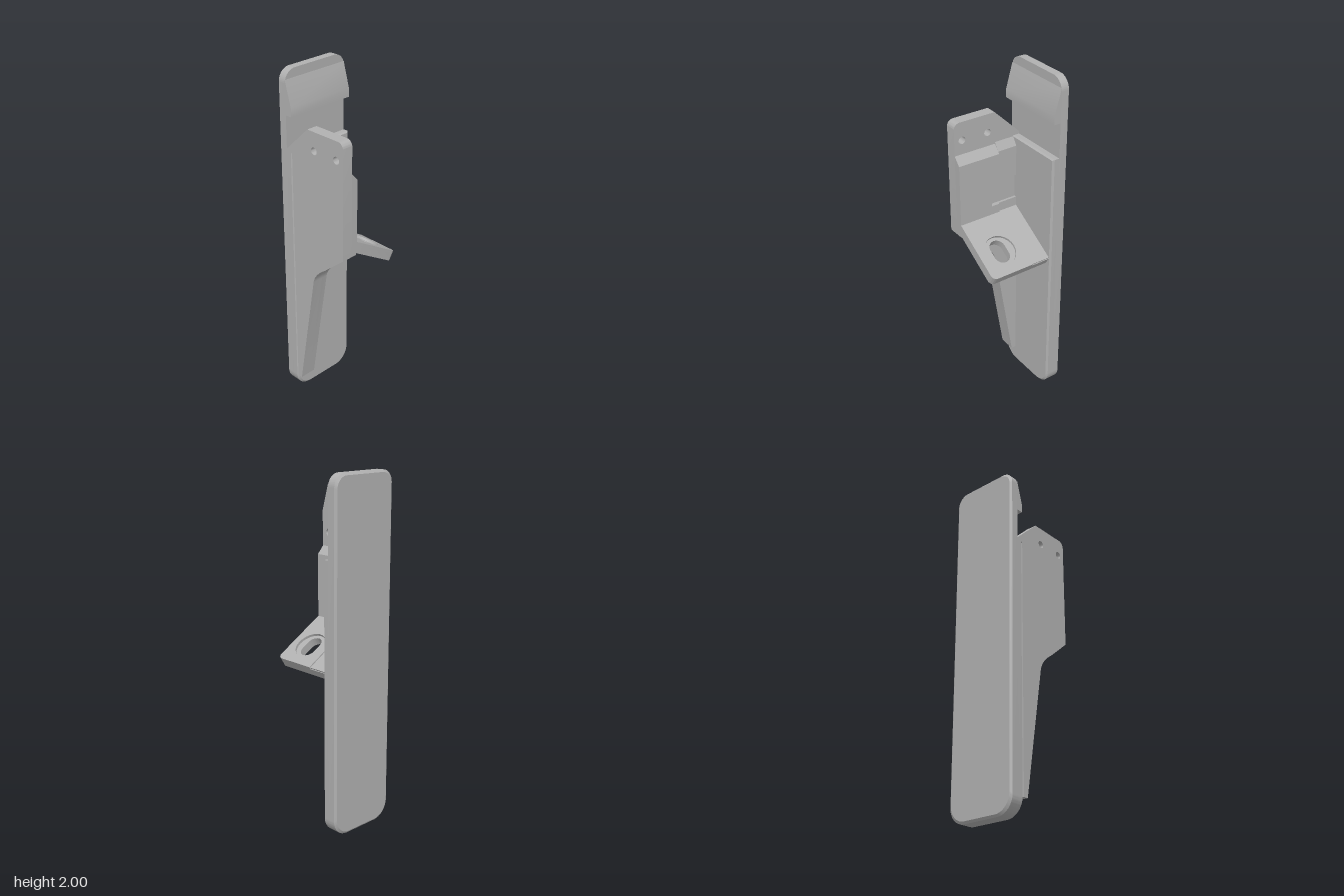
import * as THREE from 'three';
import { toCreasedNormals } from 'three/addons/utils/BufferGeometryUtils.js';

const grey = new THREE.MeshStandardMaterial({ color: 0xb0b0b0 });
grey.name = 'grey';

const polygon = (pts) => new THREE.Shape(pts.map(([x, y]) => new THREE.Vector2(x, y)));
const extrude = (shape, depth, steps = 1) =>
  new THREE.ExtrudeGeometry(shape, { depth, steps, bevelEnabled: false, curveSegments: 12 });

// Profile drawn in (z, y), extruded across x from x0 to x1
const acrossX = (shape, x0, x1) => extrude(shape, x1 - x0).rotateY(-Math.PI / 2).translate(x1, 0, 0);

// Plate outline extruded through rings of [z, inset]
function slab(shape, rings) {
  const n = rings.length - 1;
  const geo = extrude(shape, 1, n);
  const p = geo.attributes.position;
  for (let i = 0; i < p.count; i++) {
    const [z, inset] = rings[Math.round(p.getZ(i) * n)];
    p.setXYZ(i, p.getX(i) * (1 - inset / 0.21), 1 + (p.getY(i) - 1) * (1 - inset), z);
  }
  return geo;
}

// Upright plate outline with rounded bottom corners and optional rounded top
function plateOutline(top, r) {
  const w = 0.21, b = 0.1, s = new THREE.Shape();
  s.moveTo(-w + b, 0).lineTo(w - b, 0);
  s.absarc(w - b, b, b, -Math.PI / 2, 0);
  s.lineTo(w, top - r);
  if (r) s.absarc(w - r, top - r, r, 0, Math.PI / 2);
  s.lineTo(-w + r, top);
  if (r) s.absarc(-w + r, top - r, r, Math.PI / 2, Math.PI);
  s.lineTo(-w, b);
  s.absarc(-w + b, b, b, Math.PI, Math.PI * 1.5);
  return s;
}

// Tapered lower edge shared by both layers of the side web
function webBase() {
  const s = new THREE.Shape();
  s.moveTo(-0.14, 0.1).lineTo(-0.11, 0.1).lineTo(0.008, 0.83);
  s.quadraticCurveTo(0.02, 0.89, 0.1, 0.945);
  s.lineTo(0.235, 1.06);
  return s;
}

export function createModel() {
  const model = new THREE.Group();
  const add = (name, geo, parent = model) => {
    const mesh = new THREE.Mesh(toCreasedNormals(geo, 0.5), grey);
    mesh.name = name;
    parent.add(mesh);
    return mesh;
  };

  // Back plate, its thicker lower face and the wedge lip at the top
  add('backPlate', slab(plateOutline(2, 0.07), [[-0.235, 0.012], [-0.225, 0], [-0.18, 0]]));
  add('lowerPlate', slab(plateOutline(1.56, 0), [[-0.18, 0], [-0.15, 0], [-0.14, 0.01]]));
  add('topLip', acrossX(polygon([[-0.18, 1.76], [-0.14, 1.76], [-0.14, 1.81], [-0.18, 1.95]]), -0.21, 0.21));

  // Side web with two holes in its upper tab
  const web = webBase();
  web.lineTo(0.235, 1.695);
  web.absarc(0.2, 1.695, 0.035, 0, Math.PI / 2);
  web.lineTo(-0.02, 1.73).lineTo(-0.18, 1.575).lineTo(-0.18, 1.56).lineTo(-0.14, 1.56);
  for (const z of [0.187, 0.027]) {
    const hole = new THREE.Path();
    hole.absarc(z, 1.625, 0.021, 0, Math.PI * 2, true);
    web.holes.push(hole);
  }
  add('sideWeb', acrossX(web, -0.21, -0.145));

  // Inner thickness of the tapered foot
  const foot = webBase();
  foot.lineTo(0.235, 1.1).lineTo(-0.14, 1.1);
  add('webFoot', acrossX(foot, -0.145, -0.11));

  // Inner wall of the web: chamfered on top, with a shallow recess near the plate
  const inner = [[0.03, 0.235, -0.105, 1.545, false], [-0.02, 0.03, -0.105, 1.545, true],
    [-0.14, -0.02, -0.115, 1.555, true]];
  for (const [z0, z1, x, top, recess] of inner) {
    const pts = [[-0.145, 1.08], [x, 1.08]];
    if (recess) pts.push([x, 1.19], [-0.13, 1.19], [-0.13, 1.33], [x, 1.33]);
    pts.push([x, top - 0.045], [-0.145, top]);
    add('innerWall', extrude(polygon(pts), z1 - z0).translate(0, 0, z0));
  }

  // Sloping shelf, plan drawn in (along slope, -z)
  const shelf = new THREE.Group();
  shelf.name = 'shelf';
  shelf.position.set(0.08, 1.027, 0);
  shelf.rotation.z = -0.54;
  model.add(shelf);
  const plan = (back) => {
    const s = new THREE.Shape();
    s.moveTo(-0.235, -0.235).lineTo(0.115, -0.235);
    s.absarc(0.115, -0.205, 0.03, -Math.PI / 2, 0);
    s.lineTo(0.145, -back).lineTo(-0.235, -back);
    return s;
  };
  const layer = (name, shape, y, depth) =>
    add(name, extrude(shape, depth).rotateX(-Math.PI / 2).translate(0, y, 0), shelf);

  // Lower layer holds the slot, upper layer the round counterbore
  const lower = plan(-0.14), slot = new THREE.Path();
  slot.absarc(0.024, -0.103, 0.046, Math.PI / 2, -Math.PI / 2, true);
  slot.absarc(-0.024, -0.103, 0.046, -Math.PI / 2, -Math.PI * 1.5, true);
  lower.holes.push(slot);
  layer('shelfBase', lower, -0.06, 0.046);
  const upper = plan(-0.025), bore = new THREE.Path();
  bore.absarc(0, -0.103, 0.09, 0, Math.PI * 2, true);
  upper.holes.push(bore);
  layer('shelfTop', upper, -0.014, 0.014);
  layer('shelfBackStrip', polygon([[-0.235, 0.025], [0.141, 0.025], [0.141, 0.14], [-0.235, 0.14]]), -0.014, 0.008);

  return model;
}
